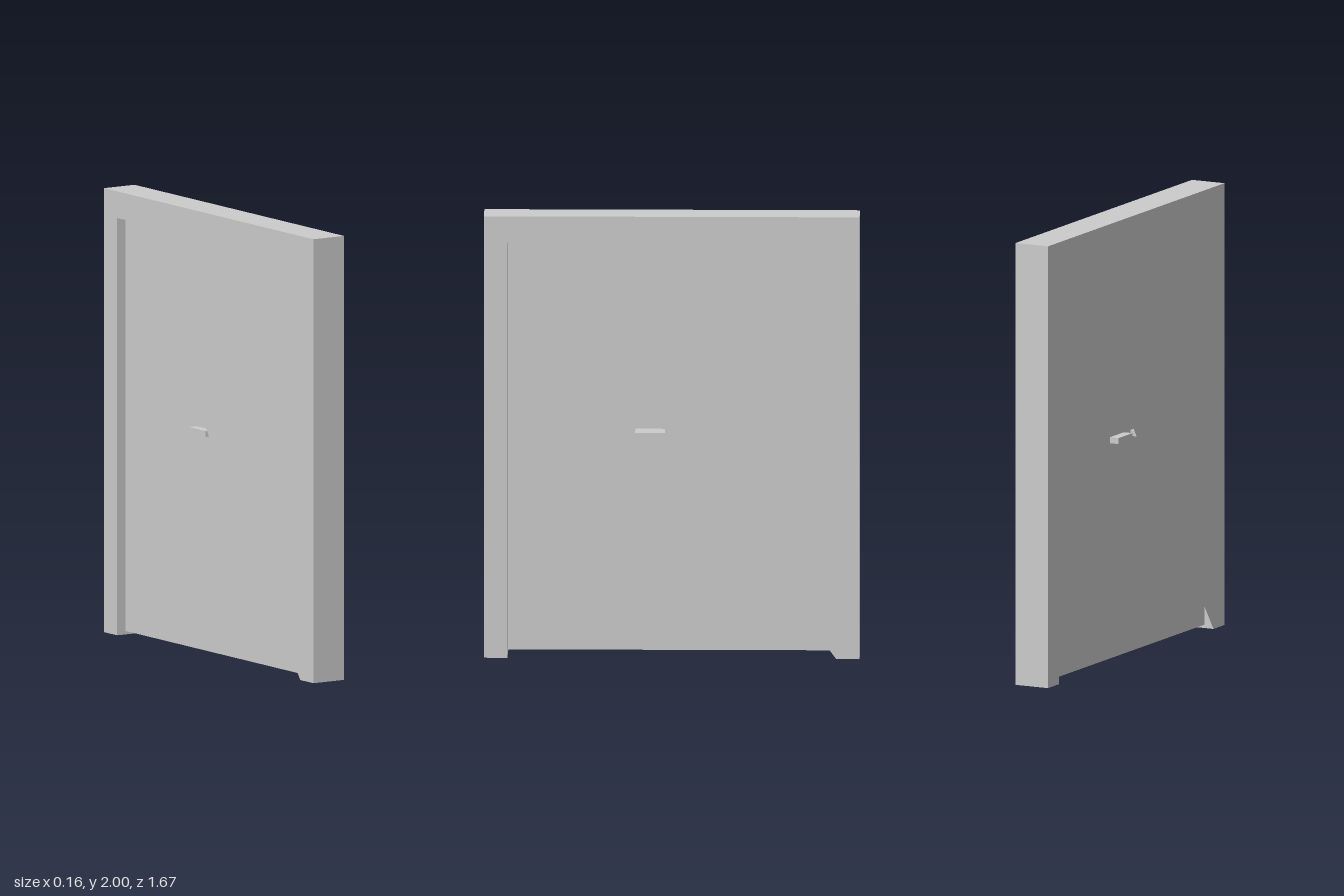
import * as THREE from 'three';

const material = new THREE.MeshStandardMaterial({ color: 0xcccccc, flatShading: true, side: THREE.DoubleSide });

const HALF_X = 0.082;    // half the frame depth
const HALF_Z = 0.835;    // half the frame width
const OPEN_Z = 0.73;     // half the doorway width
const OPEN_Y = 1.88;     // doorway height
const DOOR_X = -0.036;   // plane of the door leaves
const DOOR_BOTTOM = 0.015;

function add(group, name, geometry, x = 0, y = 0, z = 0) {
  const mesh = new THREE.Mesh(geometry, material);
  mesh.name = name;
  mesh.position.set(x, y, z);
  group.add(mesh);
  return mesh;
}

// Shape drawn across the doorway: first coordinate is -z, second is y
const outline = (points) => new THREE.Shape(points.map(([s, y]) => new THREE.Vector2(s, y)));

export function createModel() {
  const group = new THREE.Group();
  group.name = 'doorway';

  // Frame: two posts and a head in one U-shaped piece
  const frameShape = outline([
    [-HALF_Z, 0], [-OPEN_Z, 0], [-OPEN_Z, OPEN_Y], [OPEN_Z, OPEN_Y],
    [OPEN_Z, 0], [HALF_Z, 0], [HALF_Z, 2], [-HALF_Z, 2],
  ]);
  const frame = new THREE.ExtrudeGeometry(frameShape, { depth: HALF_X * 2, bevelEnabled: false });
  frame.rotateY(Math.PI / 2);
  add(group, 'frame', frame, -HALF_X);

  // Diagonal cover sheet over half the doorway, opposite way round on each face
  for (const side of [1, -1]) {
    const cover = new THREE.ShapeGeometry(outline([[-0.642, OPEN_Y], [OPEN_Z, OPEN_Y], [OPEN_Z, 0]]));
    cover.rotateY(side * Math.PI / 2);
    add(group, side > 0 ? 'rightCover' : 'leftCover', cover, side * HALF_X);
  }

  // Pair of thin door leaves, each with a handle passing through it
  for (const side of [1, -1]) {
    const label = side > 0 ? 'front' : 'back';
    const leaf = new THREE.PlaneGeometry(OPEN_Z, OPEN_Y - DOOR_BOTTOM);
    leaf.rotateY(Math.PI / 2);
    add(group, label + 'Leaf', leaf, DOOR_X, (OPEN_Y + DOOR_BOTTOM) / 2, side * OPEN_Z / 2);
    add(group, label + 'Handle', new THREE.BoxGeometry(0.142, 0.027, 0.132), -0.008, 1.003, side * 0.097);
  }

  return group;
}
